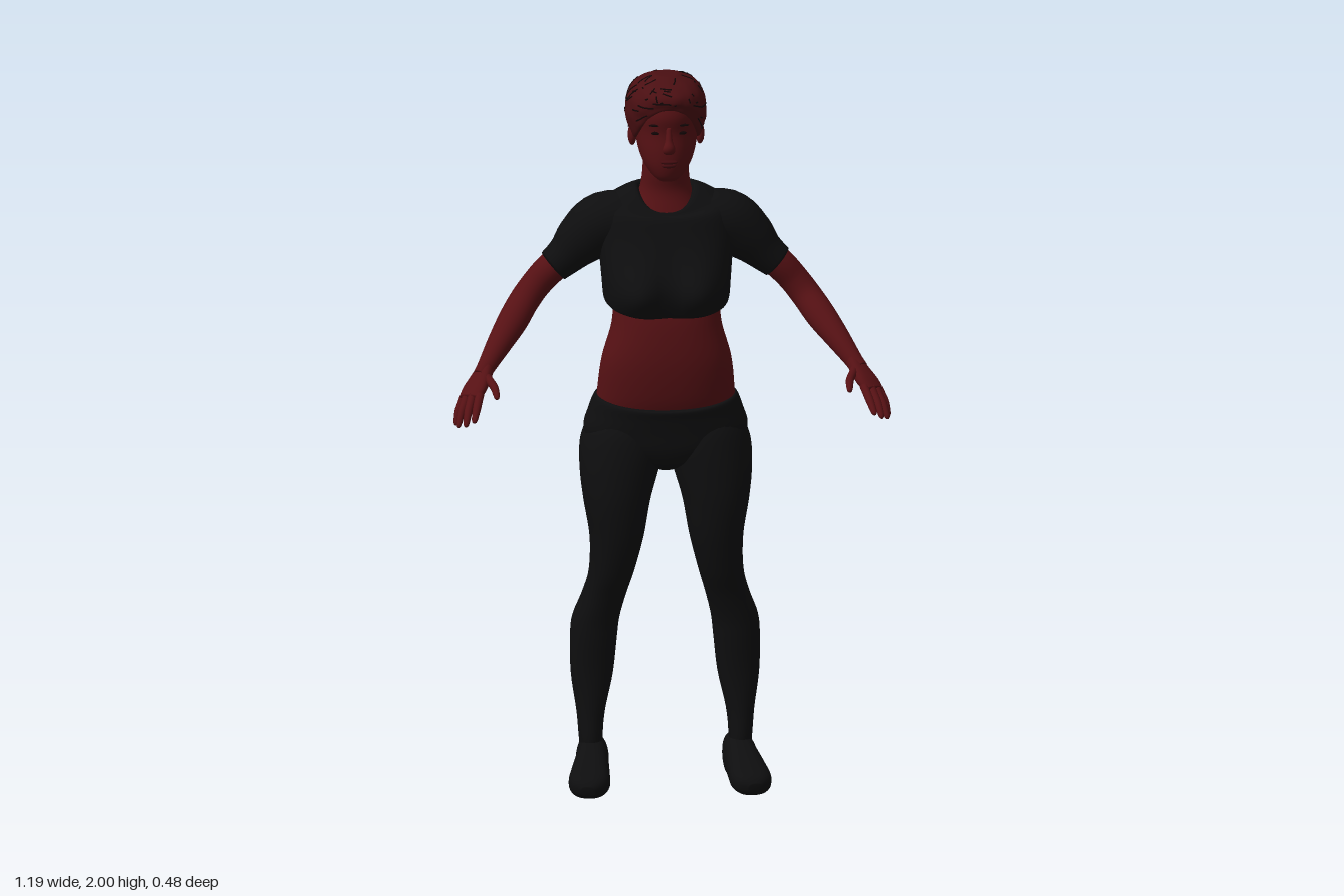
import * as THREE from 'three';

const paint = (name, color) => {
  const m = new THREE.MeshStandardMaterial({ color });
  m.name = name;
  return m;
};
const V = (x, y, z) => new THREE.Vector3(x, y, z);

// Smooth interpolation between the rows of a cross-section table
function rowAt(rows, s) {
  const last = rows.length - 1, i = Math.min(Math.floor(s), last - 1), t = s - i;
  const r = k => rows[Math.max(0, Math.min(last, k))];
  return rows[0].map((_, c) => {
    const a = r(i - 1)[c], b = r(i)[c], d = r(i + 1)[c], e = r(i + 2)[c];
    return b + 0.5 * t * (d - a + t * (2 * a - 5 * b + 4 * d - e + t * (3 * (b - d) + e - a)));
  });
}

// Closed skin over point(s, angle), with s running from 0 to length
function skin(length, point, seg = 32, sub = 5) {
  const n = length * sub, pos = [], index = [];
  for (let i = -1; i <= n + 1; i++) {
    const s = Math.max(0, Math.min(n, i)) / sub, ring = [];
    for (let j = 0; j < seg; j++) ring.push(point(s, (j / seg) * Math.PI * 2));
    if (i < 0 || i > n) {
      const mid = ring.reduce((a, p) => a.add(p), V(0, 0, 0)).divideScalar(seg);
      ring.forEach(p => p.copy(mid));
    }
    ring.forEach(p => pos.push(p.x, p.y, p.z));
  }
  for (let i = 0; i < n + 2; i++) for (let j = 0; j < seg; j++) {
    const a = i * seg + j, b = i * seg + (j + 1) % seg;
    index.push(a, a + seg, b, b, a + seg, b + seg);
  }
  const g = new THREE.BufferGeometry();
  g.setAttribute('position', new THREE.Float32BufferAttribute(pos, 3));
  g.setIndex(index);
  g.computeVertexNormals();
  return g;
}

const power = (v, n) => Math.sign(v) * Math.abs(v) ** (2 / n);

// Upright form; rows are [y, halfWidth, zFront, zBack, frontLift, backLift, centreX]
const upright = (rows, n = 2, deform = p => p) => (s, a) => {
  const [y, w, zf, zb, fl = 0, bl = 0, cx = 0] = rowAt(rows, s);
  const c = Math.cos(a), d = Math.sin(a);
  const lift = d > 0 ? fl * d ** 1.5 : bl * d * d;
  return deform(V(cx + w * power(c, n), y + lift, (zf + zb) / 2 + (zf - zb) / 2 * power(d, n)), d);
};

// Limb along a path; rows are [x, y, z, width, thickness], ref is the thickness direction
const limb = (rows, ref = V(0, 0, 1), n = 2) => (s, a) => {
  const at = q => V(...rowAt(rows, Math.max(0, Math.min(rows.length - 1, q))).slice(0, 3));
  const r = rowAt(rows, s), t = at(s + 0.1).sub(at(s - 0.1)).normalize();
  const u = t.clone().cross(ref).normalize(), v = u.clone().cross(t);
  return V(r[0], r[1], r[2]).addScaledVector(u, r[3] * power(Math.cos(a), n))
    .addScaledVector(v, r[4] * power(Math.sin(a), n));
};

function mirrored(geo) {
  const g = geo.clone().scale(-1, 1, 1), ix = g.index.array;
  for (let i = 0; i < ix.length; i += 3) [ix[i], ix[i + 1]] = [ix[i + 1], ix[i]];
  g.computeVertexNormals();
  return g;
}

const ball = (x, y, z, rx, ry, rz) =>
  new THREE.SphereGeometry(1, 24, 16).scale(rx, ry, rz).translate(x, y, z);

export function createModel() {
  const model = new THREE.Group();
  const skinMat = paint('skin', 0x561114), hairMat = paint('hair', 0x4a0f12);
  const cloth = paint('black cloth', 0x0e0e0f), dark = paint('dark strands', 0x120506);
  const lipMat = paint('lips', 0x420b0f);
  const add = (name, geo, mat) => {
    const m = new THREE.Mesh(geo, mat);
    m.name = name;
    model.add(m);
  };
  const pair = (name, geo, mat) => {
    add('left' + name, geo, mat);
    add('right' + name, mirrored(geo), mat);
  };
  const body = (name, rows, mat, n, deform) =>
    add(name, skin(rows.length - 1, upright(rows, n, deform), 48), mat);

  // Bare midriff, neck and upper chest
  body('midriff', [[1.04, 0.19, 0.015, -0.18], [1.1, 0.188, 0.036, -0.182], [1.2, 0.177, 0.05, -0.155],
    [1.3, 0.15, 0.046, -0.143], [1.38, 0.148, 0.03, -0.145], [1.46, 0.15, 0.02, -0.15]], skinMat, 2.2);
  body('neck', [[1.57, 0.12, -0.006, -0.15], [1.62, 0.09, -0.022, -0.15], [1.67, 0.071, -0.034, -0.145],
    [1.72, 0.064, -0.026, -0.14], [1.79, 0.062, -0.02, -0.14]], skinMat);

  // Cropped shirt with the bust swelling out of its front
  const bust = (p, d) => {
    if (d > 0) {
      const h = p.y - 1.4, w = (Math.abs(p.x) - 0.085) / 0.08;
      p.z += 0.062 * Math.min(1, d * 2) * Math.exp(-w * w - (h / (h > 0 ? 0.085 : 0.075)) ** 2);
    }
    return p;
  };
  body('shirt', [[1.365, 0.14, 0.0, -0.135, -0.025, 0.03], [1.36, 0.164, 0.04, -0.16, -0.025, 0.03],
    [1.375, 0.172, 0.048, -0.17, -0.02, 0.025], [1.42, 0.176, 0.052, -0.185, 0, 0.01],
    [1.49, 0.182, 0.042, -0.193, 0, 0], [1.56, 0.188, 0.02, -0.196, 0, 0],
    [1.62, 0.178, 0.004, -0.193, -0.02, 0], [1.655, 0.135, -0.012, -0.183, -0.05, 0],
    [1.675, 0.085, -0.022, -0.165, -0.062, 0], [1.66, 0.07, -0.04, -0.15, -0.065, 0]], cloth, 2.5, bust);
  const sleeve = [[0.08, 1.575, -0.1, 0.075, 0.08], [0.165, 1.57, -0.1, 0.083, 0.082],
    [0.225, 1.525, -0.098, 0.074, 0.07], [0.268, 1.482, -0.096, 0.056, 0.055], [0.305, 1.45, -0.095, 0.048, 0.048]];
  pair('Sleeve', skin(4, limb(sleeve)), cloth);

  // Arms, palms and fingers
  const arm = [[0.26, 1.487, -0.095, 0.043, 0.043], [0.31, 1.445, -0.096, 0.043, 0.043],
    [0.35, 1.4, -0.1, 0.041, 0.042], [0.385, 1.355, -0.087, 0.041, 0.042], [0.42, 1.31, -0.043, 0.041, 0.039],
    [0.46, 1.262, 0.01, 0.034, 0.033], [0.5, 1.212, 0.065, 0.025, 0.023], [0.515, 1.192, 0.085, 0.024, 0.02]];
  pair('Arm', skin(7, limb(arm), 24), skinMat);
  const palmUp = V(0.53, 0.76, 0.37);
  pair('Palm', skin(3, limb([[0.498, 1.214, 0.063, 0.022, 0.02], [0.517, 1.187, 0.09, 0.031, 0.019],
    [0.536, 1.163, 0.117, 0.038, 0.017], [0.552, 1.145, 0.138, 0.033, 0.012]], palmUp, 2.4), 20), skinMat);
  const fingers = {
    IndexFinger: [[0.523, 1.158, 0.143], [0.536, 1.128, 0.195], [0.546, 1.102, 0.236]],
    MiddleFinger: [[0.543, 1.152, 0.138], [0.558, 1.118, 0.183], [0.567, 1.086, 0.217]],
    RingFinger: [[0.558, 1.146, 0.126], [0.575, 1.11, 0.158], [0.586, 1.075, 0.183]],
    LittleFinger: [[0.567, 1.14, 0.108], [0.583, 1.106, 0.13], [0.591, 1.072, 0.147]],
    Thumb: [[0.502, 1.195, 0.095], [0.484, 1.176, 0.15], [0.48, 1.158, 0.198]],
  };
  for (const [name, [a, b, c]] of Object.entries(fingers)) {
    const mid = a.map((v, i) => (v + b[i]) / 2);
    const end = b.map((v, i) => v + (c[i] - v) * 0.8);
    const rows = [[...a, 0.012, 0.012], [...mid, 0.0115, 0.0115], [...b, 0.011, 0.011],
      [...end, 0.008, 0.008], [...c, 0.003, 0.003]];
    pair(name, skin(4, limb(rows, palmUp), 12, 3), skinMat);
  }

  // Leggings: hips, buttocks and legs
  body('hips', [[0.885, 0.03, -0.03, -0.1, 0, 0], [0.91, 0.1, 0.01, -0.15, 0, 0], [0.95, 0.2, 0.028, -0.18, 0, 0],
    [1.0, 0.224, 0.033, -0.195, 0, 0], [1.05, 0.211, 0.038, -0.202, -0.01, 0.01],
    [1.09, 0.196, 0.043, -0.196, -0.025, 0.02], [1.093, 0.185, 0.03, -0.18, -0.025, 0.02]], cloth, 2.2);
  pair('Buttock', ball(0.1, 1.015, -0.135, 0.105, 0.115, 0.103), cloth);
  // Each leg row is [y, inner x, outer x, zFront, zBack]
  const leg = [[0.07, 0.172, 0.232, -0.035, -0.135], [0.13, 0.172, 0.237, -0.033, -0.138],
    [0.2, 0.165, 0.243, -0.04, -0.14], [0.3, 0.143, 0.257, -0.044, -0.155], [0.4, 0.132, 0.259, -0.036, -0.168],
    [0.46, 0.125, 0.253, -0.03, -0.17], [0.53, 0.108, 0.228, -0.014, -0.153], [0.6, 0.088, 0.211, 0.012, -0.137],
    [0.7, 0.063, 0.21, 0.035, -0.141], [0.8, 0.045, 0.226, 0.045, -0.16], [0.88, 0.022, 0.235, 0.042, -0.182],
    [0.95, 0.003, 0.234, 0.034, -0.212], [1.0, 0.015, 0.218, 0.022, -0.215], [1.04, 0.04, 0.19, 0, -0.19]]
    .map(([y, i, o, f, b]) => [y, (o - i) / 2, f, b, 0, 0, (o + i) / 2]);
  pair('Leg', skin(leg.length - 1, upright(leg, 2.1)), cloth);

  // Shoes
  const shoe = [[0.195, 0.075, -0.152, 0.018, 0.03], [0.196, 0.07, -0.138, 0.036, 0.052],
    [0.2, 0.068, -0.08, 0.044, 0.062], [0.205, 0.063, -0.03, 0.046, 0.057], [0.214, 0.051, 0.03, 0.053, 0.045],
    [0.221, 0.04, 0.08, 0.056, 0.036], [0.226, 0.034, 0.115, 0.044, 0.029], [0.229, 0.03, 0.134, 0.018, 0.014]];
  const shoeGeo = skin(7, limb(shoe, V(0, 1, 0), 2.5));
  shoeGeo.translate(0, -0.004, 0);
  pair('Shoe', shoeGeo, cloth);

  // Head and face
  body('head', [[1.712, 0.026, 0.02, -0.03], [1.728, 0.046, 0.034, -0.08], [1.76, 0.067, 0.044, -0.12],
    [1.8, 0.08, 0.047, -0.15], [1.85, 0.087, 0.045, -0.17], [1.9, 0.09, 0.053, -0.18],
    [1.95, 0.082, 0.035, -0.17], [1.985, 0.05, -0.01, -0.12]], skinMat, 2.1);
  add('nose', skin(3, limb([[0, 1.8, 0.046, 0.015, 0.008], [0, 1.813, 0.054, 0.017, 0.014],
    [0, 1.835, 0.05, 0.01, 0.011], [0, 1.87, 0.044, 0.007, 0.006]]), 16), skinMat);
  add('upperLip', ball(0, 1.773, 0.044, 0.024, 0.006, 0.009), lipMat);
  add('lowerLip', ball(0, 1.763, 0.043, 0.02, 0.007, 0.009), lipMat);
  pair('Eye', ball(0.035, 1.853, 0.036, 0.014, 0.005, 0.005), dark);
  pair('Eyebrow', ball(0.036, 1.876, 0.039, 0.02, 0.0035, 0.006), dark);
  pair('Ear', ball(0.093, 1.825, -0.065, 0.012, 0.03, 0.019), skinMat);

  // Short hair with a high forehead line and a low nape
  const hairRows = [[1.825, 0.07, 0.03, -0.12, 0.1, -0.045], [1.82, 0.09, 0.05, -0.162, 0.1, -0.05],
    [1.85, 0.104, 0.056, -0.194, 0.08, -0.035], [1.89, 0.111, 0.06, -0.213, 0.053, -0.01],
    [1.94, 0.103, 0.052, -0.2, 0.02, 0], [1.977, 0.077, 0.022, -0.155, 0, 0], [1.997, 0.03, -0.025, -0.09, 0, 0]];
  const ruffle = p => {
    const k = 1 + 0.012 * Math.sin(p.y * 110 + p.z * 60) * Math.sin(p.x * 90 - p.z * 80);
    return V(p.x * k, p.y, (p.z + 0.07) * k - 0.07);
  };
  const hair = upright(hairRows, 2.1, ruffle);
  add('hair', skin(6, hair, 64, 6), hairMat);

  // Loose dark strands lying on the hair
  let seed = 7;
  const rnd = () => (seed = (seed * 16807) % 2147483647) / 2147483647;
  for (let i = 0; i < 64; i++) {
    const s = 1.6 + rnd() * 3.6, a = rnd() * Math.PI * 2, ds = (rnd() - 0.3) * 1.4, da = (rnd() - 0.5) * 0.9;
    const path = [0, 1, 2, 3].map(k => hair(Math.max(1.2, Math.min(5.8, s + ds * k / 3)), a + da * k / 3));
    add('hairStrand', new THREE.TubeGeometry(new THREE.CatmullRomCurve3(path), 8, 0.0022, 5), dark);
  }
  return model;
}
